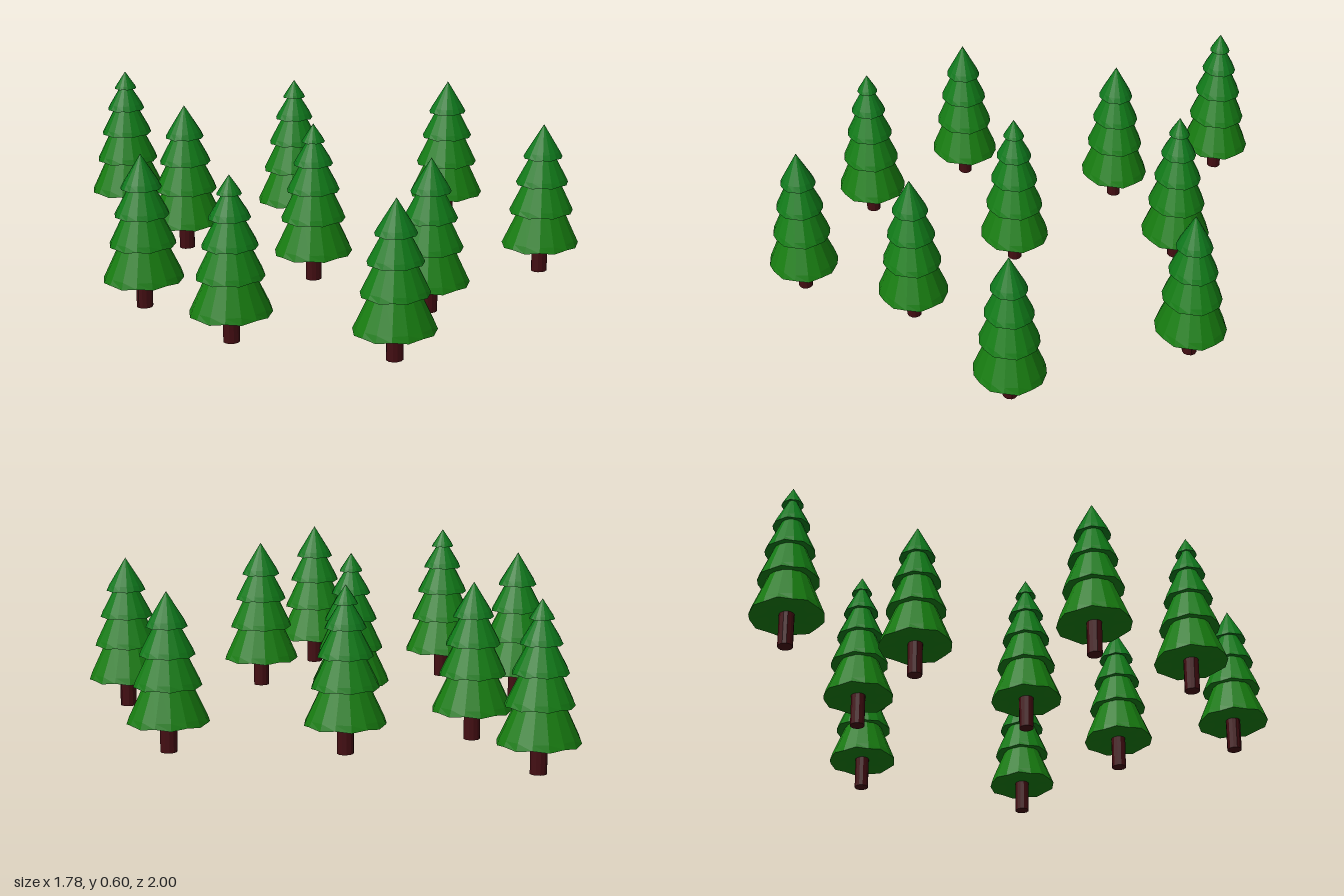
import * as THREE from 'three';

const SIDES = 16;
const DEPTH = 0.875; // trees are slightly narrower along z

const barkMat = new THREE.MeshStandardMaterial({ color: 0x430d12, flatShading: true });
const leafMat = (color) => new THREE.MeshStandardMaterial({ color, flatShading: true });

// Tiers from bottom to top: rim height, rim radius, top height, top radius, colour
const TIERS = [
  { name: 'skirtTier', y: 0.105, r: 0.145, top: 0.25, rt: 0.08, mat: leafMat(0x177c10) },
  { name: 'lowerTier', y: 0.235, r: 0.12, top: 0.36, rt: 0.062, mat: leafMat(0x147c14) },
  { name: 'middleTier', y: 0.345, r: 0.098, top: 0.46, rt: 0.04, mat: leafMat(0x107a18) },
  { name: 'upperTier', y: 0.445, r: 0.073, top: 0.57, rt: 0, mat: leafMat(0x0e781c) },
  { name: 'tipTier', y: 0.53, r: 0.043, top: 0.598, rt: 0, mat: leafMat(0x0e781c) },
];

// One drooping ring of branches with a gently scalloped rim
function tierGeometry({ y, r, top, rt }) {
  const profile = [
    [0, y + 0.012],
    [r * 0.55, y + 0.012],
    [r, y],
    [r * 0.86 + rt * 0.14, y + (top - y) * 0.18],
    [rt, top],
  ].map(([px, py]) => new THREE.Vector2(px, py));
  const geo = new THREE.LatheGeometry(profile, SIDES);
  const pos = geo.attributes.position;
  for (let i = 0; i < pos.count; i++) {
    const column = Math.floor(i / profile.length);
    if (i % profile.length === 2 && column % 2) pos.setY(i, y + r * 0.05);
  }
  geo.scale(1, 1, DEPTH);
  geo.computeVertexNormals();
  return geo;
}

const tierGeometries = TIERS.map(tierGeometry);
const trunkGeometry = new THREE.CylinderGeometry(0.03, 0.03, 0.13, 12)
  .translate(0, 0.065, 0)
  .scale(1, 1, DEPTH);

// A fir tree with four tiers, or five when it is tall
function makeTree(tierCount) {
  const tree = new THREE.Group();
  const trunk = new THREE.Mesh(trunkGeometry, barkMat);
  trunk.name = 'trunk';
  tree.add(trunk);
  for (let i = 0; i < tierCount; i++) {
    const tier = new THREE.Mesh(tierGeometries[i], TIERS[i].mat);
    tier.name = TIERS[i].name;
    tree.add(tier);
  }
  return tree;
}

// x, z and number of tiers of every tree
const PLACES = [
  [-0.56, -0.873, 5], [-0.44, -0.415, 4], [0.037, -0.53, 5], [0.64, -0.41, 4],
  [-0.743, 0.133, 4], [-0.085, 0.068, 5], [0.742, 0.263, 4], [-0.54, 0.543, 5],
  [0.2, 0.505, 4], [-0.07, 0.87, 4],
];

export function createModel() {
  const forest = new THREE.Group();
  forest.name = 'firForest';
  PLACES.forEach(([x, z, tiers], i) => {
    const tree = makeTree(tiers);
    tree.name = `firTree${i + 1}`;
    tree.position.set(x, 0, z);
    forest.add(tree);
  });
  return forest;
}
